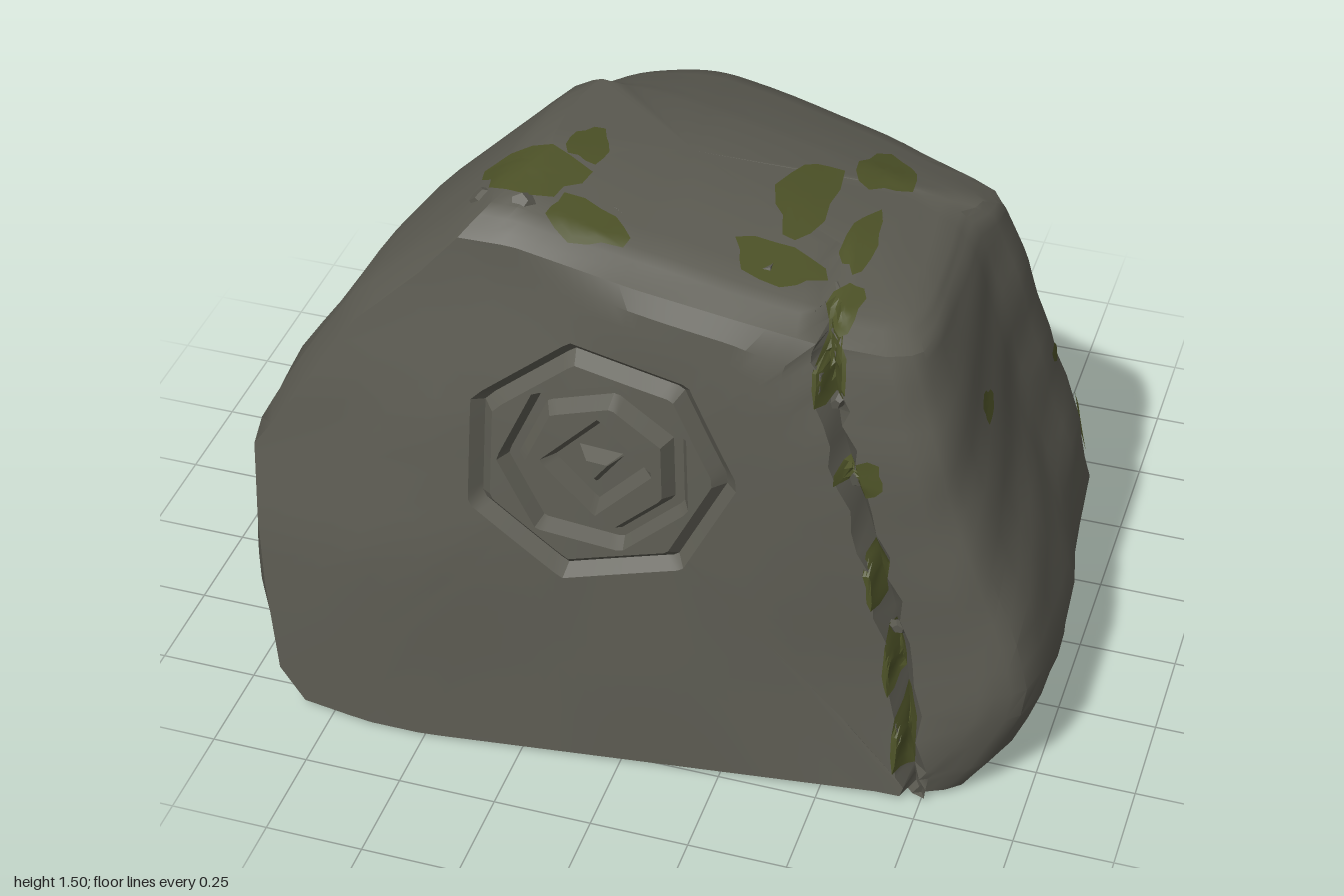
import * as THREE from 'three';
import { toCreasedNormals } from 'three/addons/utils/BufferGeometryUtils.js';

const lerp = THREE.MathUtils.lerp;
const clamp = THREE.MathUtils.clamp;

// Piecewise-linear lookup in rows [key, value, value, ...]
function lookup(rows, key) {
  let i = 0;
  while (i < rows.length - 2 && key > rows[i + 1][0]) i++;
  const t = clamp((key - rows[i][0]) / (rows[i + 1][0] - rows[i][0]), 0, 1);
  return rows[i].map((v, k) => lerp(v, rows[i + 1][k], t));
}

// Depth of the split front face, which leans back and turns away to the right
const FACE_LEFT = [[0, 0.84], [0.55, 0.8], [0.95, 0.72], [1.4, 0.61]];
const FACE_RIGHT = [[0, 0.7], [0.4, 0.66], [1.1, 0.63], [1.4, 0.58]];
function faceZ(x, y) {
  const t = clamp((x + 0.5) / 1.15, 0, 1);
  const corner = Math.max(0, -x - 0.65) * 0.15;
  return lerp(lookup(FACE_LEFT, y)[1], lookup(FACE_RIGHT, y)[1], t) - corner;
}

// How far the crown falls away towards the right
const DROP = [[-0.3, 0], [0, 0.08], [0.25, 0.13], [0.47, 0.17], [0.65, 0.19]];

// Rows: height, face left, face right, body left, body right, back, front inset
const ROWS = [
  [0.02, -0.83, 0.70, -0.98, 0.95, -0.84, 0],
  [0.10, -0.90, 0.69, -1.00, 0.98, -0.82, 0],
  [0.35, -0.93, 0.66, -1.00, 1.00, -0.78, 0],
  [0.55, -0.94, 0.62, -1.00, 0.94, -0.72, 0],
  [0.75, -0.95, 0.57, -0.99, 0.86, -0.64, 0],
  [0.95, -0.81, 0.51, -0.86, 0.80, -0.55, 0],
  [1.15, -0.68, 0.46, -0.73, 0.75, -0.46, 0],
  [1.30, -0.52, 0.44, -0.57, 0.71, -0.41, 0],
  [1.40, -0.43, 0.42, -0.46, 0.68, -0.34, 0],
  [1.46, -0.37, 0.41, -0.39, 0.64, -0.18, 0.08],
  [1.50, -0.29, 0.38, -0.31, 0.50, -0.05, 0.28],
];
const SUB = 3, LIP = 8 * SUB, FRONT = 24, ARC = 44;

// Plan outline around the right, back and left, in fractions of the extents
const outline = new THREE.CatmullRomCurve3([
  [0.87, 0.97], [0.97, 0.88], [1, 0.4], [0.97, 0], [0.88, -0.43], [0.65, -0.67], [0.46, -0.84],
  [0.2, -0.97], [-0.05, -1], [-0.22, -0.96], [-0.42, -0.83], [-0.62, -0.65], [-0.8, -0.3],
  [-0.92, 0], [-1, 0.45], [-0.99, 0.87],
].map(([u, w]) => new THREE.Vector3(u, 0, w)));

const bumps = (x, y, z) =>
  0.01 * Math.sin(5 * x + 4 * y + 1) * Math.sin(6 * z - 3 * y) +
  0.007 * Math.sin(13 * x - 9 * y + 2) * Math.sin(11 * z + 8 * y);

function buildRows() {
  const rows = [];
  for (let j = 0; j <= (ROWS.length - 1) * SUB; j++) {
    const k = Math.min(Math.floor(j / SUB), ROWS.length - 2), t = j / SUB - k;
    const [h, fl, fr, xl, xr, zb, inset] = ROWS[k].map((v, i) => lerp(v, ROWS[k + 1][i], t));
    const row = [];
    const add = (x, z, rough) => {
      const n = rough ? bumps(x, h, z) : 0;
      const y = h - lookup(DROP, x)[1] * (h / 1.5) ** 3;
      row.push(new THREE.Vector3(clamp(x * (1 + n), -1, 1), y, z * (1 + n)));
    };
    for (let i = 0; i <= FRONT; i++) {
      const x = lerp(fl, fr, i / FRONT) + (i === FRONT ? 0.012 * Math.sin(j * 1.9) : 0);
      add(x, faceZ(x, h) - inset, j > LIP);
    }
    // Crack beside the face
    const z = faceZ(fr, h) - inset;
    add(fr + 0.025, z - 0.07, false);
    add(fr + 0.06 + 0.012 * Math.sin(j * 2.7), z - 0.01, false);
    const foot = Math.max(0, 1 - h / 0.25);
    for (let i = 0; i <= ARC; i++) {
      const p = outline.getPoint(i / ARC);
      const zf = faceZ(p.x > 0 ? xr : xl, h) - inset;
      // Front corners tuck in at the foot; the back is fuller high on the right, leaner on the left
      const tuck = p.z > 0 ? 1 - 0.14 * foot * p.z ** 2 : 1;
      const full = p.z < 0 ? 1 - 0.35 * h * p.z * p.x ** 3 : 1;
      const x = (p.x > 0 ? p.x * xr : -p.x * xl) * tuck * full;
      add(x, (p.z > 0 ? p.z * zf : -p.z * zb) * full, true);
    }
    rows.push(row);
  }
  return rows;
}

function meshFrom(points, index, crease, material, name) {
  const geo = new THREE.BufferGeometry().setFromPoints(points);
  geo.setIndex(index);
  const mesh = new THREE.Mesh(toCreasedNormals(geo, crease), material);
  mesh.name = name;
  return mesh;
}

// Rough sides, back, crown and underside
function buildBody(rows, material) {
  const n = rows[0].length, last = rows.length - 1, index = [];
  const points = rows.flat();
  const under = points.push(new THREE.Vector3(0, 0.005, -0.1)) - 1;
  const crown = points.push(new THREE.Vector3(0, 1.43, 0.14)) - 1;
  for (let i = 0; i < n; i++) {
    const i2 = (i + 1) % n;
    for (let j = i < FRONT ? LIP : 0; j < last; j++) {
      const a = j * n + i, b = j * n + i2;
      index.push(a, b, b + n, a, b + n, a + n);
    }
    index.push(under, i2, i, crown, last * n + i, last * n + i2);
  }
  return meshFrom(points, index, 0.6, material, 'rockBody');
}

// Front face with engraved polygon rings: radius, depth, turn, sides
const CARVING = [
  [0.03, 0, 0.4, 3], [0.065, -0.035, 0.4, 3],
  [0.11, -0.035, 0, 4], [0.14, 0, 0, 4],
  [0.175, 0, 0.5, 7], [0.2, -0.035, 0.5, 7], [0.225, -0.035, 0.5, 7], [0.245, 0, 0.5, 7],
  [0.285, 0, 0.9, 7], [0.315, -0.03, 0.9, 7], [0.345, 0, 0.9, 7],
];
function buildFace(rows, material) {
  const edge = [];
  for (let i = 0; i < FRONT; i++) edge.push(rows[0][i]);
  for (let j = 0; j < LIP; j++) edge.push(rows[j][FRONT]);
  for (let i = FRONT; i > 0; i--) edge.push(rows[LIP][i]);
  for (let j = LIP; j > 0; j--) edge.push(rows[j][0]);
  const cx = -0.07, cy = 0.87, n = edge.length, points = [], index = [];
  const ringPoint = (p, [r, depth, turn, sides]) => {
    const step = 2 * Math.PI / sides;
    const a = Math.atan2(p.y - cy, p.x - cx);
    const local = (((a - turn) % step) + step) % step;
    const rad = r * Math.cos(step / 2) / Math.cos(local - step / 2);
    const x = cx + rad * Math.cos(a), y = cy + rad * Math.sin(a) * 0.94;
    return new THREE.Vector3(x, y, faceZ(x, y) + depth);
  };
  for (const ring of CARVING) points.push(...edge.map(p => ringPoint(p, ring)));
  for (const s of [0.25, 0.5, 0.75, 1]) {
    for (const p of edge) {
      const q = ringPoint(p, CARVING[CARVING.length - 1]).lerp(p, s);
      if (s < 1) q.z = faceZ(q.x, q.y) + 0.006 * Math.sin(7 * q.x + 1) * Math.sin(6 * q.y);
      points.push(q);
    }
  }
  const mid = points.push(new THREE.Vector3(cx, cy, faceZ(cx, cy))) - 1;
  for (let i = 0; i < n; i++) {
    const i2 = (i + 1) % n;
    index.push(mid, i, i2);
    for (let k = 0; k < CARVING.length + 3; k++) {
      const a = k * n + i, b = k * n + i2;
      index.push(a, a + n, b + n, a, b + n, b);
    }
  }
  return meshFrom(points, index, 0.35, material, 'carvedFace');
}

// Moss: irregular thin blobs draped on the rock along a casting direction
function buildMoss(targets, origin, dir, ru, rv, seed, material) {
  const d = new THREE.Vector3(...dir), o = new THREE.Vector3(...origin);
  const u = Math.abs(d.x) > 0.5 ? new THREE.Vector3(0, 0, 1) : new THREE.Vector3(1, 0, 0);
  const v = new THREE.Vector3().crossVectors(u, d);
  const caster = new THREE.Raycaster();
  const points = [], index = [], n = 14, rings = 4;
  const drape = (a, b) => {
    const start = o.clone().addScaledVector(u, a).addScaledVector(v, b).addScaledVector(d, -2);
    caster.set(start, d);
    const hit = caster.intersectObjects(targets)[0];
    points.push(hit ? hit.point.addScaledVector(d, -0.008) : points[0].clone());
  };
  drape(0, 0);
  for (let k = 1; k <= rings; k++) {
    for (let i = 0; i < n; i++) {
      const a = i / n * Math.PI * 2;
      const r = k / rings * (0.97 + 0.13 * Math.sin(3 * a + seed) + 0.09 * Math.sin(5 * a + seed * 2));
      drape(ru * r * Math.cos(a), rv * r * Math.sin(a));
    }
  }
  for (let i = 0; i < n; i++) {
    const i2 = (i + 1) % n;
    index.push(0, 1 + i, 1 + i2);
    for (let k = 0; k < rings - 1; k++) {
      const a = 1 + k * n + i, b = 1 + k * n + i2;
      index.push(a, a + n, b + n, a, b + n, b);
    }
  }
  return meshFrom(points, index, 0.5, material, 'mossPatch');
}

export function createModel() {
  const stone = new THREE.MeshStandardMaterial({ color: 0x5b5a51 });
  stone.name = 'stone';
  const moss = new THREE.MeshStandardMaterial({ color: 0x4c5127, side: THREE.DoubleSide });
  moss.name = 'moss';
  const group = new THREE.Group();
  group.name = 'carvedRock';
  const rows = buildRows();
  const rock = [buildBody(rows, stone), buildFace(rows, stone)];
  group.add(...rock);
  group.updateMatrixWorld(true);

  const down = [0, -1, 0], back = [0, 0, -1], fore = [0, 0, 1], side = [-1, 0, 0];
  const patches = [
    [[-0.32, 1.4, 0.4], down, 0.13, 0.09], [[-0.15, 1.4, 0.5], down, 0.1, 0.06],
    [[-0.22, 1.4, 0.27], down, 0.05, 0.07], [[0.29, 1.3, 0.17], down, 0.07, 0.16],
    [[0.29, 1.3, 0.42], down, 0.11, 0.07], [[0.43, 1.3, -0.04], down, 0.075, 0.1],
    [[0.45, 1.3, 0.26], down, 0.04, 0.12], [[0.47, 1.3, 0.48], down, 0.04, 0.08],
    [[0.33, 0.98, -0.5], fore, 0.17, 0.14],
    [[0.47, 1.2, 0.6], back, 0.04, 0.1], [[0.56, 0.94, 0.6], back, 0.06, 0.05],
    [[0.61, 0.67, 0.6], back, 0.03, 0.1], [[0.66, 0.42, 0.6], back, 0.025, 0.1],
    [[0.7, 0.2, 0.6], back, 0.03, 0.13],
    [[0.8, 0.97, 0.31], side, 0.045, 0.035], [[0.8, 0.47, -0.32], side, 0.025, 0.1],
    [[0.8, 0.78, -0.19], side, 0.022, 0.025],
  ];
  patches.forEach((p, i) => group.add(buildMoss(rock, ...p, i * 1.7, moss)));

  // Broken chips along the crack and crown
  const chips = [
    [-0.4, 1.42, 0.47, 0.05], [-0.3, 1.44, 0.5, 0.045], [-0.1, 1.4, 0.43, 0.04],
    [0.26, 1.32, 0.44, 0.045], [0.43, 1.29, 0.42, 0.04], [0.46, 1.31, 0.15, 0.035],
    [0.49, 1.12, 0.58, 0.03], [0.56, 0.92, 0.6, 0.045], [0.66, 0.5, 0.62, 0.03],
  ];
  chips.forEach(([x, y, z, r], i) => {
    const chip = new THREE.Mesh(new THREE.DodecahedronGeometry(r), stone);
    chip.name = 'stoneChip';
    chip.position.set(x, y, z);
    chip.scale.set(1, 0.6, 0.8);
    chip.rotation.set(i, i * 2.1, i * 0.7);
    group.add(chip);
  });
  return group;
}
